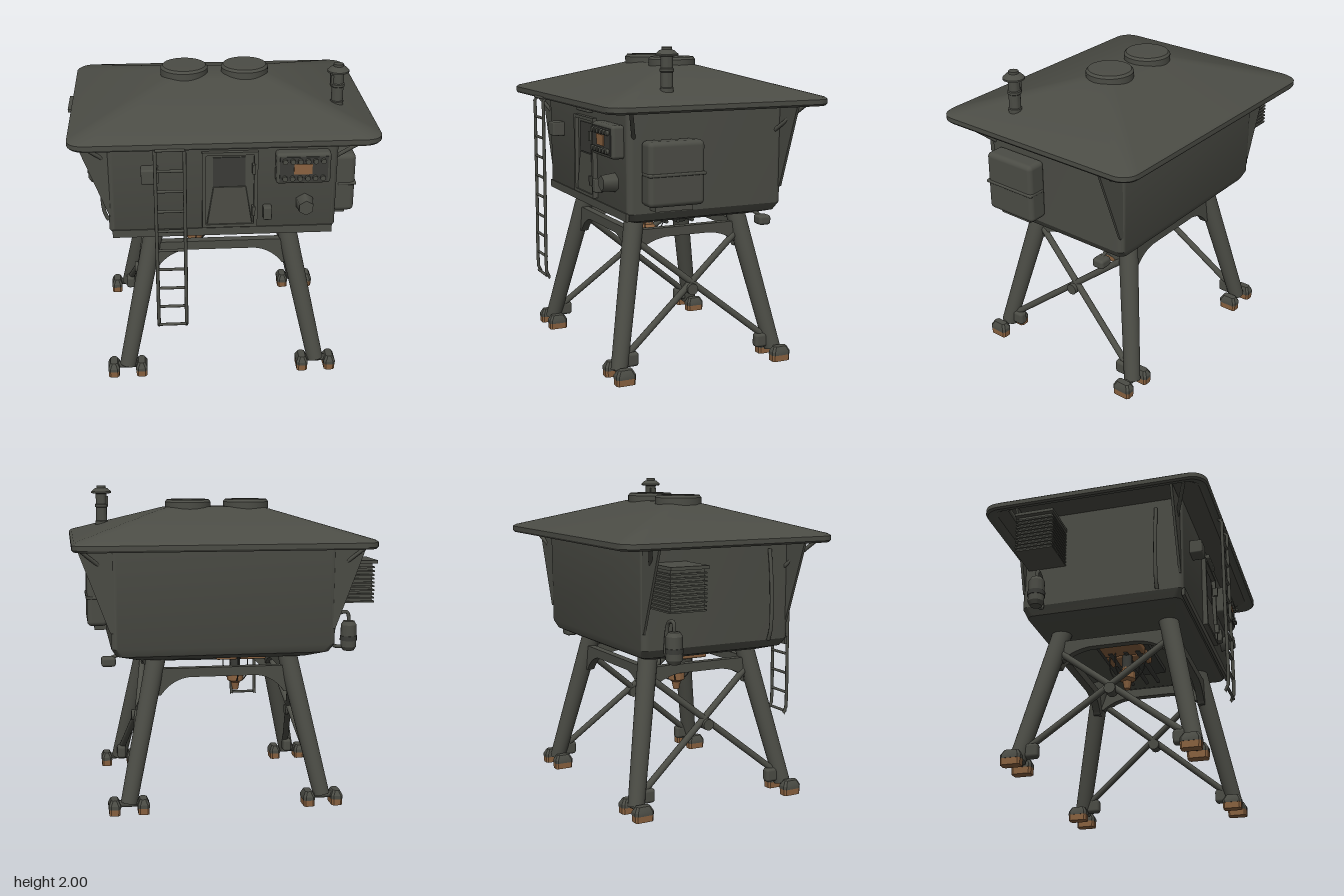
import * as THREE from 'three';
import { toCreasedNormals } from 'three/addons/utils/BufferGeometryUtils.js';
import { RoundedBoxGeometry } from 'three/addons/geometries/RoundedBoxGeometry.js';

const V = (x, y, z) => new THREE.Vector3(x, y, z);

// Closed loft through rounded rectangles: each section is [y, halfX, halfZ, cornerRadius]
function loft(sections, seg = 6) {
  const pos = [], idx = [], n = 4 * (seg + 1);
  for (const [y, hx, hz, r] of sections) {
    for (let c = 0; c < 4; c++) for (let i = 0; i <= seg; i++) {
      const a = (c + i / seg) * Math.PI / 2;
      const sx = c === 0 || c === 3 ? 1 : -1, sz = c < 2 ? 1 : -1;
      pos.push(sx * (hx - r) + r * Math.cos(a), y, sz * (hz - r) + r * Math.sin(a));
    }
  }
  const last = sections.length - 1, c0 = pos.length / 3;
  pos.push(0, sections[0][0], 0, 0, sections[last][0], 0);
  for (let i = 0; i < n; i++) {
    const j = (i + 1) % n;
    for (let s = 0; s < last; s++) {
      const a = s * n + i, b = s * n + j;
      idx.push(a, a + n, b, b, a + n, b + n);
    }
    idx.push(c0, i, j, c0 + 1, last * n + j, last * n + i);
  }
  const g = new THREE.BufferGeometry();
  g.setAttribute('position', new THREE.Float32BufferAttribute(pos, 3));
  g.setIndex(idx);
  return toCreasedNormals(g, 0.5);
}

export function createModel() {
  const model = new THREE.Group();
  const material = (name, color) => {
    const m = new THREE.MeshStandardMaterial({ color });
    m.name = name;
    return m;
  };
  const grey = material('olive grey metal', 0x4b4c45);
  const dark = material('dark grey metal', 0x3a3b37);
  const brown = material('rusty brown', 0x8a6240);

  const add = (name, geo, mat, x = 0, y = 0, z = 0) => {
    const m = new THREE.Mesh(geo, mat);
    m.name = name;
    m.position.set(x, y, z);
    model.add(m);
    return m;
  };
  // Box given by its extents
  const box = (name, x0, x1, y0, y1, z0, z1, mat = grey, r = 0) => add(name,
    r ? new RoundedBoxGeometry(x1 - x0, y1 - y0, z1 - z0, 3, r) : new THREE.BoxGeometry(x1 - x0, y1 - y0, z1 - z0),
    mat, (x0 + x1) / 2, (y0 + y1) / 2, (z0 + z1) / 2);
  const rod = (name, a, b, r, mat = grey, r2 = r, seg = 14) => {
    const d = b.clone().sub(a);
    const m = add(name, new THREE.CylinderGeometry(r2, r, d.length(), seg), mat);
    m.position.copy(a).addScaledVector(d, 0.5);
    m.quaternion.setFromUnitVectors(V(0, 1, 0), d.normalize());
    return m;
  };
  const tube = (name, pts, r, mat = grey) =>
    add(name, new THREE.TubeGeometry(new THREE.CatmullRomCurve3(pts), 24, r, 8), mat);
  const lathe = (name, pts, mat, x, y, z, seg = 28) => add(name,
    toCreasedNormals(new THREE.LatheGeometry(pts.map(p => new THREE.Vector2(...p)), seg), 0.5), mat, x, y, z);

  // Cabin and roof
  add('cabin', loft([[0.945, 0.55, 0.42, 0.05], [0.98, 0.67, 0.495, 0.05], [1.03, 0.7, 0.515, 0.04],
    [1.66, 0.702, 0.52, 0.04]]), grey, 0.02, 0, 0.003);
  add('roof', loft([[1.665, 0.86, 0.66, 0.08], [1.645, 0.885, 0.685, 0.09], [1.64, 0.915, 0.715, 0.1], [1.652, 0.925, 0.722, 0.1],
    [1.68, 0.925, 0.722, 0.1], [1.692, 0.91, 0.708, 0.1], [1.865, 0.33, 0.13, 0.06], [1.872, 0.29, 0.09, 0.05]]),
    grey, 0.025, 0, -0.007);
  for (const x of [-0.19, 0.19])
    lathe('roofHatch', [[0.148, 0], [0.148, 0.045], [0.135, 0.06], [0, 0.062]], grey, x, 1.857, -0.007, 40);

  // Chimney
  lathe('chimney', [[0.04, 0], [0.04, 0.06], [0.036, 0.065], [0.036, 0.15], [0.042, 0.155], [0.042, 0.17], [0.036, 0.175],
    [0.036, 0.24], [0.066, 0.245], [0.066, 0.255], [0.045, 0.275], [0.03, 0.28], [0.03, 0.295], [0, 0.295]], grey, 0.735, 1.705, 0.28);
  box('chimneyBox', 0.69, 0.71, 1.86, 1.93, 0.26, 0.3);

  // Triangular roof gussets and support rods at the corners
  for (const [sx, sz] of [[1, -1], [-1, -1], [-1, 1]]) {
    const s = new THREE.Shape();
    s.moveTo(0.66, 1.65); s.lineTo(0.895, 1.65); s.lineTo(0.7, 1.13); s.lineTo(0.66, 1.13);
    const g = new THREE.ExtrudeGeometry(s, { depth: 0.016, bevelEnabled: false });
    if (sx < 0) g.rotateY(Math.PI);
    add('roofGusset', g, grey, 0.025, 0, sz * 0.5 + (sx < 0 ? 0.008 : -0.008));
  }
  for (const sx of [1, -1]) for (const z of [-0.46, 0.48])
    rod('roofStrut', V(0.02 + sx * 0.69, 1.48, z), V(0.025 + sx * 0.88, 1.645, z * 1.2), 0.012);

  // Legs, feet and ankle brackets
  const legAt = (sx, sz, y) => {
    const t = (0.95 - y) / 0.89;
    return V(0.015 + sx * (0.42 + 0.195 * t), y, 0.012 + sz * (0.35 + 0.185 * t));
  };
  for (const sx of [-1, 1]) for (const sz of [-1, 1]) {
    const foot = legAt(sx, sz, 0.06);
    rod('leg', foot, legAt(sx, sz, 0.97), 0.052, grey, 0.062, 24);
    rod('ankleAxle', V(foot.x - 0.09, 0.06, foot.z), V(foot.x + 0.09, 0.06, foot.z), 0.022);
    for (const d of [-1, 1]) {
      const x = foot.x + d * 0.09;
      add('footSole', loft([[0, 0.034, 0.06, 0.012], [0.045, 0.035, 0.062, 0.012]], 1), brown, x, 0, foot.z);
      add('foot', loft([[0.04, 0.037, 0.063, 0.014], [0.062, 0.037, 0.063, 0.014], [0.094, 0.022, 0.045, 0.012]], 1), grey, x, 0, foot.z);
    }
    const k = legAt(sx, sz, 0.12);
    box('ankleBracket', k.x - 0.03, k.x + 0.03, 0.07, 0.16, k.z - sz * 0.07 - 0.045, k.z - sz * 0.07 + 0.045, grey, 0.02);
  }

  // Crossed side braces with a central hub
  for (const sx of [-1, 1]) {
    for (const sz of [-1, 1]) rod('crossBrace', legAt(sx, sz, 0.83), legAt(sx, -sz, 0.1), 0.021);
    const h = legAt(sx, 0, 0.48);
    rod('braceHub', V(h.x - 0.035, 0.49, h.z + 0.01), V(h.x + 0.035, 0.49, h.z + 0.01), 0.036);
  }

  // Arched beams joining the leg tops
  const arch = (w, low) => {
    const s = new THREE.Shape();
    s.moveTo(-w, 0.89); s.lineTo(w, 0.89); s.lineTo(w, low); s.lineTo(w - 0.04, low);
    s.quadraticCurveTo(w - 0.11, 0.82, w - 0.22, 0.832);
    s.lineTo(0.22 - w, 0.832);
    s.quadraticCurveTo(0.11 - w, 0.82, 0.04 - w, low);
    s.lineTo(-w, low);
    return new THREE.ExtrudeGeometry(s, { depth: 0.05, bevelEnabled: false }).translate(0, 0, -0.025);
  };
  for (const s of [-1, 1]) {
    add('archBeam', arch(0.435, 0.72), grey, 0.015, -0.01, 0.012 + s * 0.37);
    add('sideBeam', arch(0.37, 0.76).rotateY(Math.PI / 2), grey, 0.015 + s * 0.44, -0.01, 0.012);
  }

  // Machinery under the floor
  box('machineTray', -0.3, 0.28, 0.915, 0.955, -0.17, 0.17, dark);
  box('machineBlock', -0.31, -0.14, 0.875, 0.925, -0.13, 0.14, brown, 0.01);
  box('machineBlock', -0.12, 0.02, 0.875, 0.925, -0.13, 0.14, brown, 0.01);
  for (const z of [-0.08, 0.02, 0.1]) rod('machinePipe', V(-0.2, 0.89, z), V(0.35, 0.885, z), 0.022, dark, 0.012);
  rod('drillStem', V(-0.13, 0.78, 0.015), V(-0.13, 0.92, 0.015), 0.033, dark);
  lathe('drillHead', [[0, 0], [0.02, 0], [0.03, 0.05], [0.055, 0.065], [0.055, 0.11], [0.035, 0.13], [0.03, 0.165], [0, 0.165]],
    brown, -0.13, 0.645, 0.015, 12);
  for (const [x, z] of [[0, 0.12], [0, -0.12], [0.07, 0.06], [-0.07, -0.06]])
    tube('cable', [V(-0.13 + x, 0.92, 0.015 + z), V(-0.13 + x, 0.77, 0.015 + z * 0.9),
      V(-0.13 + x * 0.6, 0.715, 0.015 + z * 0.5), V(-0.13, 0.72, 0.015)], 0.004, dark);

  // Ladder
  for (const x of [-0.39, -0.218])
    tube('ladderRail', [V(x, 1.655, 0.69), V(x, 1.645, 0.713), V(x, 1.55, 0.716), V(x, 1, 0.716), V(x, 0.5, 0.716),
      V(x, 0.46, 0.71), V(x, 0.45, 0.695)], 0.011);
  for (let i = 0; i < 10; i++) rod('ladderRung', V(-0.39, 0.465 + i * 0.131, 0.714), V(-0.218, 0.465 + i * 0.131, 0.714), 0.009);

  // Door with frame, window and sloping lower panel
  const frame = new THREE.Shape();
  frame.moveTo(-0.108, 1.05); frame.lineTo(0.23, 1.05); frame.lineTo(0.23, 1.55); frame.lineTo(-0.108, 1.55);
  const hole = new THREE.Path();
  hole.moveTo(-0.085, 1.07); hole.lineTo(-0.085, 1.53); hole.lineTo(0.207, 1.53); hole.lineTo(0.207, 1.07);
  frame.holes.push(hole);
  add('doorFrame', new THREE.ExtrudeGeometry(frame, { depth: 0.04, bevelEnabled: false }), grey, 0, 0, 0.51);
  box('doorPanel', -0.085, 0.207, 1.07, 1.53, 0.515, 0.525);
  box('doorWindow', -0.04, 0.155, 1.32, 1.51, 0.525, 0.532, dark);
  add('doorLowerPanel', loft([[1.07, 0.14, 0.012, 0.004], [1.315, 0.1, 0.006, 0.003]], 1), grey, 0.06, 0, 0.528);
  for (const y of [1.16, 1.44]) box('doorHinge', 0.195, 0.215, y - 0.03, y + 0.03, 0.53, 0.565);
  box('doorLight', -0.03, 0.165, 1.58, 1.612, 0.51, 0.56, grey, 0.008);

  // Control panel
  box('controlPanel', 0.335, 0.665, 1.352, 1.55, 0.51, 0.595, grey, 0.02);
  box('controlFace', 0.355, 0.645, 1.372, 1.53, 0.59, 0.6, dark);
  box('controlScreen', 0.44, 0.55, 1.42, 1.485, 0.6, 0.606, brown);
  for (let i = 0; i < 6; i++) for (const y of [1.395, 1.505])
    rod('controlKnob', V(0.385 + i * 0.046, y, 0.595), V(0.385 + i * 0.046, y, 0.618), 0.016, grey);

  // Small front fittings
  box('wallBox', 0.265, 0.318, 1.1, 1.185, 0.51, 0.57, grey, 0.008);
  rod('hexVent', V(0.522, 1.195, 0.51), V(0.522, 1.195, 0.61), 0.06, grey, 0.048, 6);
  box('ladderBox', -0.475, -0.37, 1.375, 1.468, 0.51, 0.6, grey, 0.01);
  box('frontSill', -0.66, 0.7, 0.985, 1.035, 0.505, 0.525);

  // Storage case on the left wall
  box('sideCase', 0.715, 0.848, 1.082, 1.466, 0.08, 0.44, grey, 0.03);
  box('sideCaseSeam', 0.74, 0.856, 1.262, 1.282, 0.076, 0.444, grey, 0.008);
  box('sideCaseBracket', 0.71, 0.8, 1.05, 1.09, 0.14, 0.38);

  // Lamp under the left wall
  rod('lampArm', V(0.62, 0.99, -0.34), V(0.735, 0.95, -0.37), 0.012);
  box('lamp', 0.69, 0.78, 0.905, 0.965, -0.41, -0.33, grey, 0.018);

  // Louvred cooling unit on the right wall
  box('coolerBody', -0.92, -0.67, 1.29, 1.53, -0.46, -0.24);
  box('coolerLid', -0.95, -0.67, 1.53, 1.55, -0.475, -0.225);
  for (let i = 0; i < 10; i++) box('coolerFin', -0.932, -0.67, 1.285 + i * 0.024, 1.295 + i * 0.024, -0.472, -0.228);

  // Tank and pipes on the right wall
  lathe('tank', [[0, 0], [0.035, 0.005], [0.05, 0.03], [0.05, 0.17], [0.035, 0.195], [0, 0.2]], grey, -0.8, 0.96, -0.37);
  rod('tankBand', V(-0.8, 1.03, -0.37), V(-0.8, 1.06, -0.37), 0.055, dark);
  tube('tankPipe', [V(-0.8, 1.15, -0.37), V(-0.79, 1.21, -0.37), V(-0.73, 1.2, -0.37), V(-0.7, 1.1, -0.37), V(-0.7, 1.0, -0.37),
    V(-0.76, 0.99, -0.37)], 0.012);
  tube('wallPipe', [V(-0.69, 1.6, 0.36), V(-0.715, 1.4, 0.36), V(-0.715, 1.1, 0.36), V(-0.69, 1.03, 0.36)], 0.012);

  return model;
}
